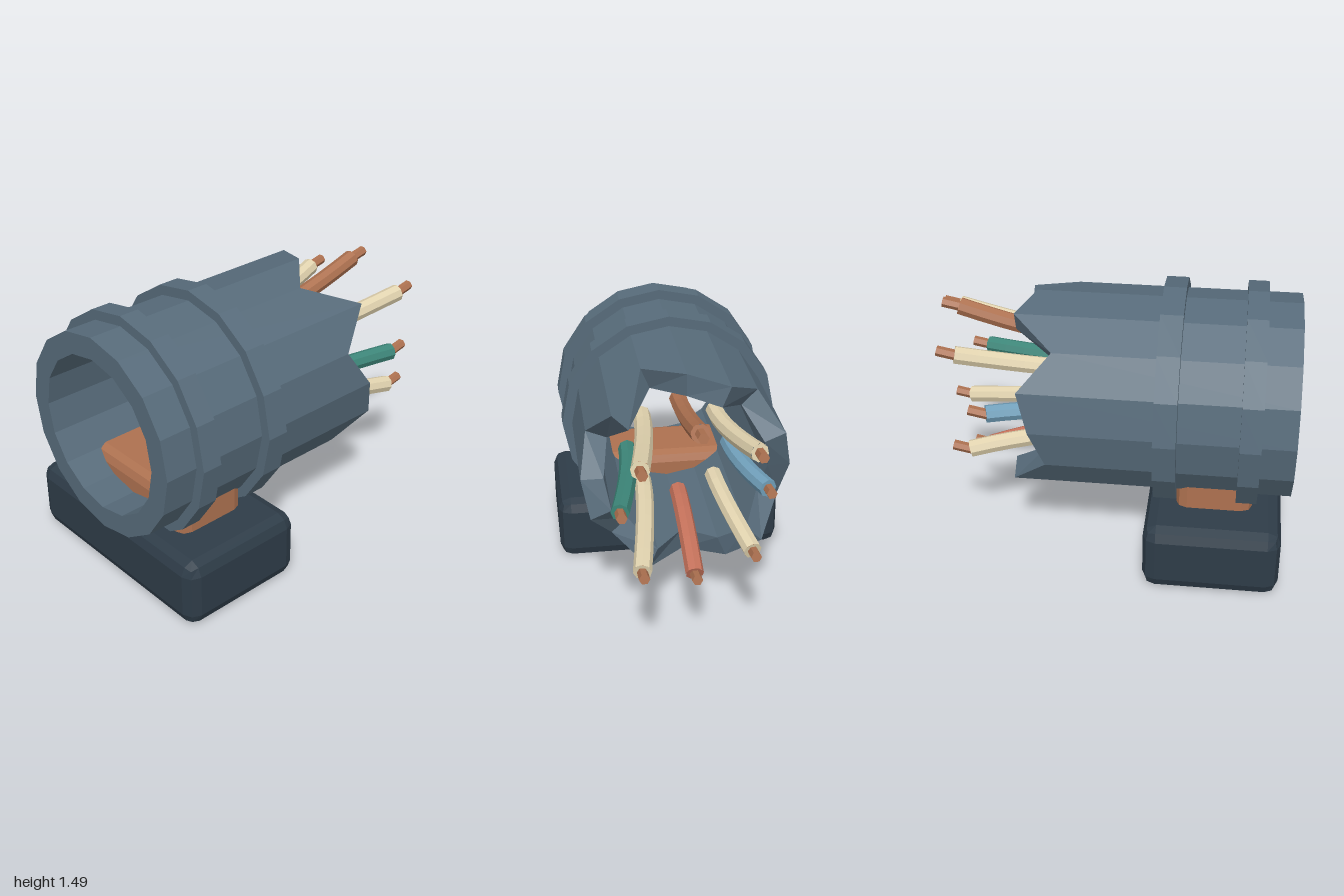
import * as THREE from 'three';
import { RoundedBoxGeometry } from 'three/addons/geometries/RoundedBoxGeometry.js';

const mat = (name, color) => {
  const m = new THREE.MeshStandardMaterial({ color });
  m.name = name;
  return m;
};

// Faceted normals for every part
function flat(geo) {
  const g = geo.index ? geo.toNonIndexed() : geo;
  g.computeVertexNormals();
  return g;
}

function add(parent, name, geo, material) {
  const mesh = new THREE.Mesh(flat(geo), material);
  mesh.name = name;
  parent.add(mesh);
  return mesh;
}

const AXIS_Y = 0.88;
const SIDES = 16;

// Hollow 16-sided shell along x; endAt(i) gives the x of the far rim at each corner
function shell(rOut, rIn, x0, endAt) {
  const pos = [];
  const p = (i, r, x) => {
    const a = (i / SIDES) * Math.PI * 2;
    return [x, AXIS_Y + r * Math.cos(a), r * Math.sin(a)];
  };
  const quad = (a, b, c, d) => pos.push(...a, ...b, ...c, ...a, ...c, ...d);
  for (let i = 0; i < SIDES; i++) {
    const j = (i + 1) % SIDES;
    const oi = p(i, rOut, x0), oj = p(j, rOut, x0);
    const ii = p(i, rIn, x0), ij = p(j, rIn, x0);
    const Oi = p(i, rOut, endAt(i)), Oj = p(j, rOut, endAt(j));
    const Ii = p(i, rIn, endAt(i)), Ij = p(j, rIn, endAt(j));
    quad(oi, oj, Oj, Oi); // outside
    quad(ii, Ii, Ij, ij); // inside
    quad(Oi, Oj, Ij, Ii); // far rim
    quad(oi, ii, ij, oj); // near rim
  }
  const g = new THREE.BufferGeometry();
  g.setAttribute('position', new THREE.Float32BufferAttribute(pos, 3));
  return g;
}

export function createModel() {
  const model = new THREE.Group();
  model.name = 'brokenCableConduit';

  const steel = mat('steel blue grey', 0x576b7a);
  const dark = mat('dark slate', 0x2e3c48);
  const copper = mat('copper', 0xad7150);
  const cream = mat('cream', 0xe0d2ae);
  const green = mat('green', 0x3c8578);
  const blue = mat('blue', 0x709fba);
  const coral = mat('coral', 0xc4715a);

  // Foot block and the saddle that carries the pipe
  add(model, 'footBlock', new RoundedBoxGeometry(0.73, 0.38, 1.31, 1, 0.07), dark)
    .position.set(-0.595, 0.19, 0);
  add(model, 'saddle', new RoundedBoxGeometry(0.41, 0.58, 0.82, 1, 0.06), copper)
    .position.set(-0.595, 0.295, 0);

  // Pipe with a torn end, corners listed from the top towards +z
  const torn = [0.4, 0.2, 0.49, 0.27, 0.41, 0.46, 0.3, 0.49,
    0.25, 0.42, 0.49, 0.3, 0.38, 0.44, 0.27, 0.49];
  add(model, 'pipe', shell(0.555, 0.435, -1, (i) => torn[i]), steel);

  // Raised bands
  for (const [x0, x1] of [[-0.82, -0.71], [-0.39, -0.27]]) {
    add(model, 'band', shell(0.61, 0.5, x0, () => x1), steel);
  }

  // Frayed wires: [insulation end x, end radius, colour], from the top towards +z
  const wires = [
    [0.83, 0.435, copper], [0.9, 0.42, cream], [0.77, 0.385, green], [0.87, 0.41, cream],
    [0.7, 0.435, coral], [0.75, 0.41, cream], [0.63, 0.385, blue], [0.8, 0.42, cream],
  ];
  const xAxis = new THREE.Vector3(1, 0, 0);
  const coreDir = new THREE.Vector3(1, 0.2, 0).normalize();
  wires.forEach(([xe, re, colour], k) => {
    const a = (k / wires.length) * Math.PI * 2;
    const at = (x, r) => new THREE.Vector3(x, AXIS_Y + r * Math.cos(a), r * Math.sin(a));
    const curve = new THREE.QuadraticBezierCurve3(at(0.08, 0.28), at(0.33, 0.28), at(xe, re));
    const wire = new THREE.Group();
    wire.name = 'wire';
    add(wire, 'insulation', new THREE.TubeGeometry(curve, 6, 0.048, 8), colour);

    // End discs
    for (const t of [0, 1]) {
      const disc = add(wire, 'insulationEnd', new THREE.CircleGeometry(0.048, 8), colour);
      const out = curve.getTangent(t).multiplyScalar(t ? 1 : -1);
      disc.position.copy(curve.getPoint(t));
      disc.quaternion.setFromUnitVectors(new THREE.Vector3(0, 0, 1), out);
    }

    // Bare core
    const geo = new THREE.CylinderGeometry(0.028, 0.028, 0.14, 6).rotateZ(-Math.PI / 2);
    const core = add(wire, 'core', geo, copper);
    core.quaternion.setFromUnitVectors(xAxis, coreDir);
    core.position.copy(curve.getPoint(1)).addScaledVector(coreDir, 0.025);
    model.add(wire);
  });

  return model;
}
